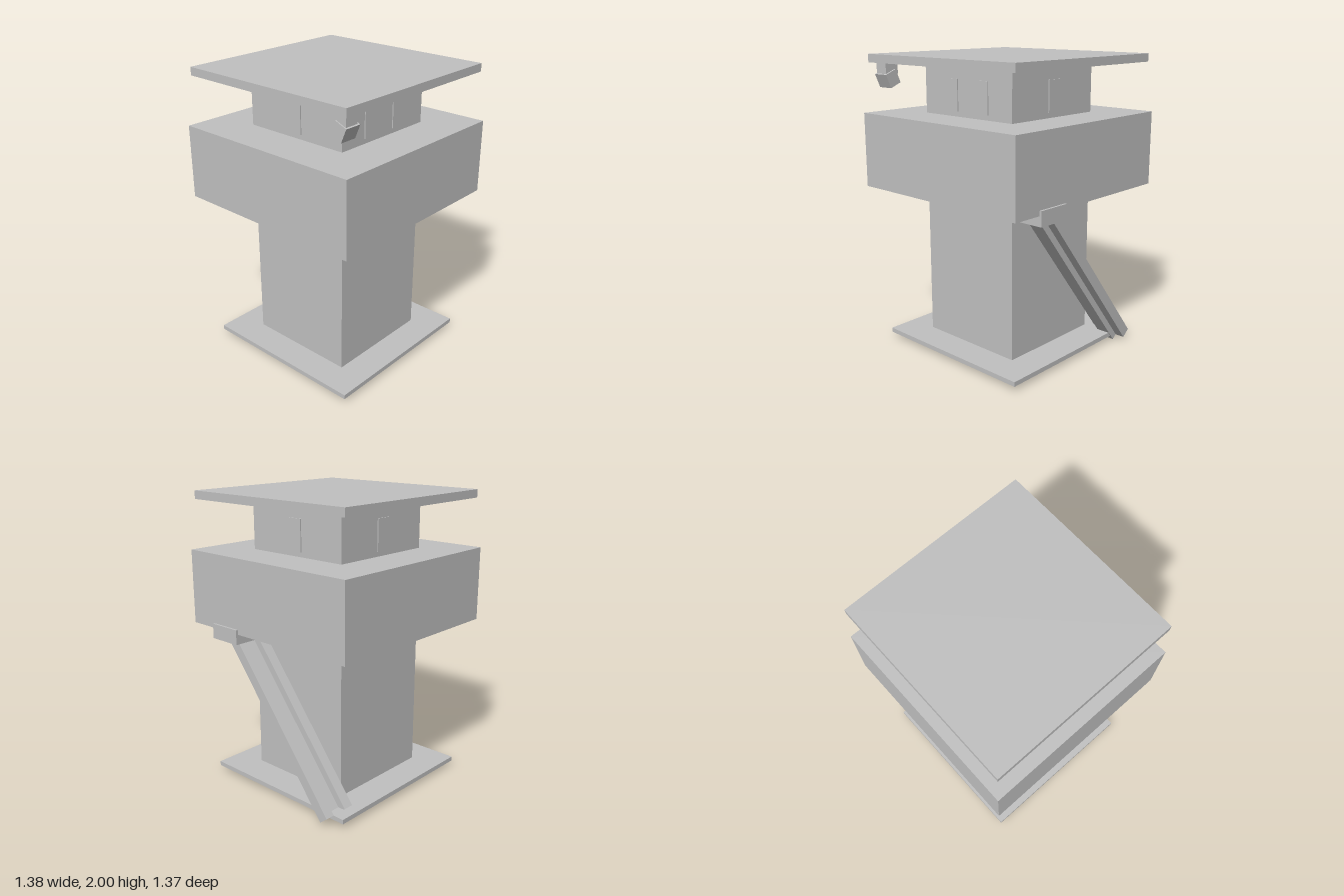
import * as THREE from 'three';

export function createModel() {
  const model = new THREE.Group();
  const grey = new THREE.MeshStandardMaterial({ color: 0xc0c0c0 });
  grey.name = 'concrete grey';

  // Box given by its min and max on each axis
  function block(name, [x0, x1], [y0, y1], [z0, z1], parent = model) {
    const mesh = new THREE.Mesh(new THREE.BoxGeometry(x1 - x0, y1 - y0, z1 - z0), grey);
    mesh.position.set((x0 + x1) / 2, (y0 + y1) / 2, (z0 + z1) / 2);
    mesh.name = name;
    parent.add(mesh);
    return mesh;
  }

  // Tower
  block('base', [-0.605, 0.588], [0.032, 0.063], [-0.596, 0.598]);
  block('shaft', [-0.4, 0.376], [0.063, 1.112], [-0.388, 0.39]);
  block('gallery', [-0.695, 0.673], [1.112, 1.613], [-0.684, 0.686]);
  block('watchRoom', [-0.4, 0.376], [1.613, 1.945], [-0.388, 0.39]);
  block('roof', [-0.665, 0.645], [1.945, 2], [-0.655, 0.655]);

  // Windows: two on the front, one on each other side
  const sill = [1.646, 1.855];
  for (const x of [-0.145, 0.124]) {
    block('frontWindow', [x - 0.052, x + 0.052], sill, [0.389, 0.397]);
  }
  block('backWindow', [-0.063, 0.041], sill, [-0.395, -0.387]);
  block('leftWindow', [0.375, 0.384], sill, [-0.05, 0.054]);
  block('rightWindow', [-0.407, -0.399], sill, [-0.05, 0.054]);

  // Searchlight hanging from the roof corner
  block('lampBracket', [-0.627, -0.531], [1.872, 1.945], [0.52, 0.618]);
  const lamp = block('lamp', [-0.635, -0.518], [1.794, 1.89], [0.5255, 0.6125]);
  lamp.rotation.x = 0.4;

  // Sloping stair: local y runs up the slope, local -z is its upper side
  block('landing', [0.392, 0.688], [1.045, 1.145], [0.242, 0.476]);
  const stair = new THREE.Group();
  stair.name = 'stair';
  stair.position.set(0, 0, -0.437);
  stair.rotation.x = 0.669;
  model.add(stair);
  block('stairBed', [0.492, 0.594], [0, 1.335], [-0.065, 0], stair);
  block('innerRail', [0.421, 0.492], [0, 1.335], [-0.112, -0.042], stair);
  block('outerRail', [0.594, 0.66], [0, 1.335], [-0.112, -0.042], stair);

  return model;
}
